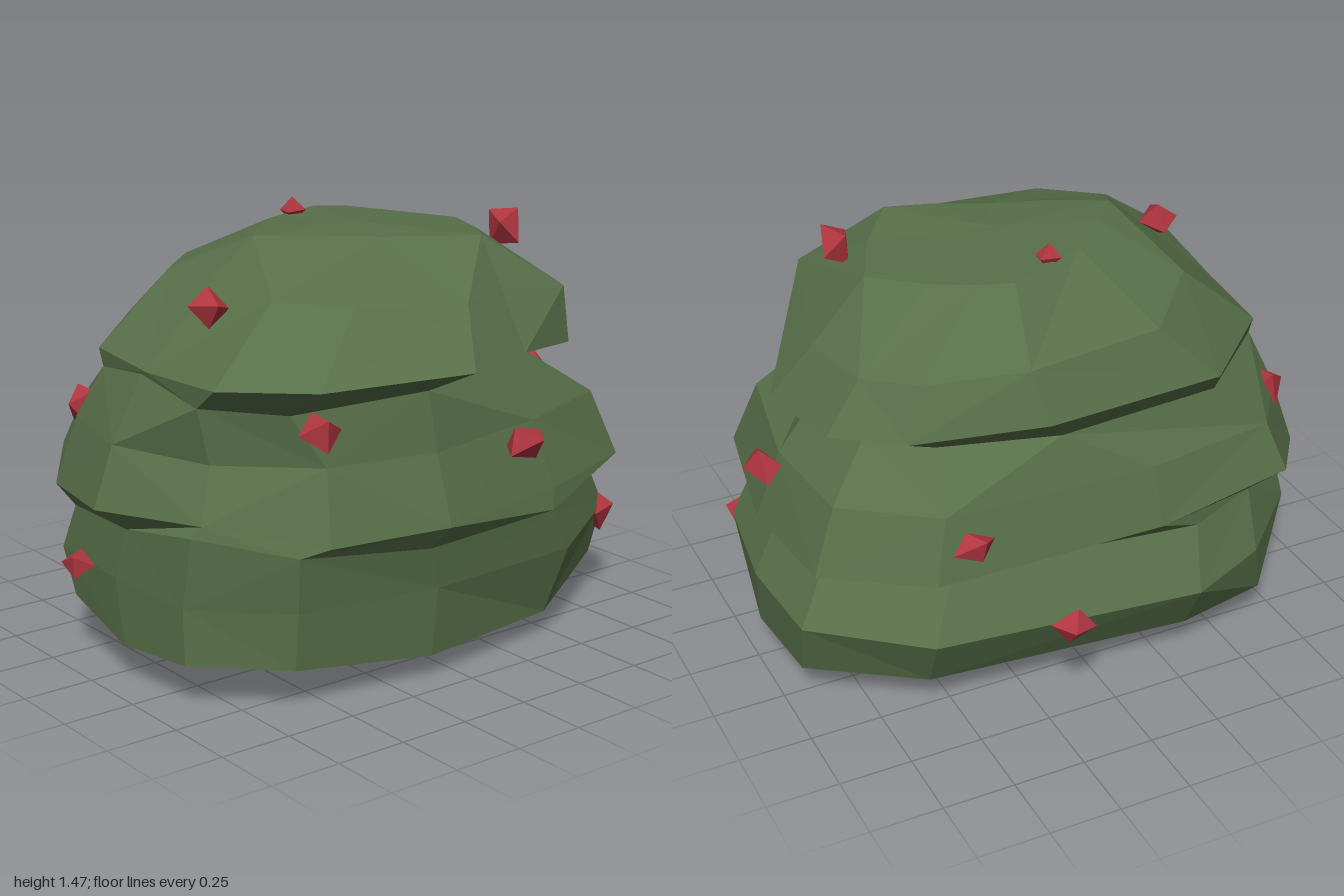
import * as THREE from 'three';

const SIDES = 12;

// outlines seen from above, x and z, starting at the front and turning towards +x
const LOWER = [
  [0.04, 0.92], [0.4, 0.9], [0.63, 0.62], [0.69, 0.1], [0.67, -0.5], [0.4, -0.93],
  [0, -0.99], [-0.36, -0.96], [-0.63, -0.6], [-0.73, 0.33], [-0.61, 0.62], [-0.36, 0.88],
];
const MIDDLE = [
  [0.05, 1], [0.45, 0.86], [0.7, 0.55], [0.77, 0.12], [0.67, -0.42], [0.52, -0.86],
  [0, -0.96], [-0.43, -0.92], [-0.67, -0.6], [-0.69, 0.2], [-0.61, 0.72], [-0.36, 0.9],
];
const UPPER = [
  [0.08, 0.81], [0.5, 0.84], [0.72, 0.6], [0.82, 0.07], [0.7, -0.25], [0.57, -0.57],
  [0.02, -0.89], [-0.33, -0.83], [-0.52, -0.63], [-0.65, -0.2], [-0.6, 0.44], [-0.27, 0.77],
];
const CROWN = [
  [0.07, 0.37], [0.17, 0.2], [0.27, 0], [0.35, -0.15], [0.41, -0.31], [0.22, -0.45],
  [0, -0.55], [-0.17, -0.4], [-0.27, -0.28], [-0.32, -0.17], [-0.19, 0.12], [-0.05, 0.27],
];

// foliage rings from bottom to top:
// outline, [+x edge, -x edge, front z, back z], [heights at front, +x, back, -x],
// and uneven corners as corner: [lift, spread]
const RINGS = [
  [LOWER, [0.02, -0.02, 0.33, -0.72], [0, 0, 0, 0], {}],
  [LOWER, [0.67, -0.62, 0.92, -0.97], [0.13, 0.08, 0.12, 0.12],
    { 1: [0.04, 1], 2: [0.04, 1], 4: [0, 0.93], 5: [0.05, 0.96], 10: [0, 1.08], 11: [0.06, 1] }],
  [LOWER, [0.69, -0.73, 0.92, -0.99], [0.35, 0.32, 0.34, 0.31], {}],
  [LOWER, [0.71, -0.63, 0.91, -0.86], [0.53, 0.47, 0.55, 0.52],
    { 1: [0.07, 1], 2: [0.03, 1], 11: [-0.02, 1] }],
  [MIDDLE, [0.77, -0.69, 1, -0.97], [0.6, 0.55, 0.57, 0.6],
    { 1: [0.035, 1], 2: [-0.015, 1], 10: [0.03, 1], 11: [-0.03, 1] }],
  [MIDDLE, [0.69, -0.63, 0.92, -0.88], [0.8, 0.78, 0.8, 0.8], {}],
  [UPPER, [0.66, -0.57, 0.83, -0.75], [0.98, 0.98, 0.97, 0.97],
    { 0: [0.035, 1], 2: [-0.02, 1], 5: [0.02, 1] }],
  [UPPER, [0.82, -0.65, 0.84, -0.89], [1.03, 1.06, 1, 1.07],
    { 1: [0.02, 1], 2: [0.01, 1], 5: [-0.01, 1] }],
  [UPPER, [0.66, -0.58, 0.54, -0.75], [1.29, 1.24, 1.17, 1.24], { 5: [0, 1.18] }],
  [CROWN, [0.41, -0.32, 0.38, -0.55], [1.42, 1.4, 1.37, 1.41], {}],
];

function foliageGeometry() {
  const pos = [];
  const index = [];
  RINGS.forEach(([outline, [xl, xr, zf, zb], [yf, yl, yb, yr], corners]) => {
    const xs = outline.map((p) => p[0]), zs = outline.map((p) => p[1]);
    outline.forEach(([px, pz], i) => {
      const u = THREE.MathUtils.mapLinear(px, Math.min(...xs), Math.max(...xs), -1, 1);
      const v = THREE.MathUtils.mapLinear(pz, Math.min(...zs), Math.max(...zs), -1, 1);
      const [lift, spread] = corners[i] ?? [0, 1];
      const side = (u * u) / (u * u + v * v);
      const y = side * (u > 0 ? yl : yr) + (1 - side) * (v > 0 ? yf : yb) + lift;
      pos.push((xl + xr) / 2 + spread * u * (xl - xr) / 2, y,
        (zf + zb) / 2 + spread * v * (zf - zb) / 2);
    });
  });
  for (let j = 0; j < RINGS.length - 1; j++) {
    for (let i = 0; i < SIDES; i++) {
      const n = (i + 1) % SIDES;
      const a = j * SIDES + i, b = j * SIDES + n;
      const c = b + SIDES, d = a + SIDES;
      if ((i + j) % 2) index.push(a, b, c, a, c, d);
      else index.push(a, b, d, b, c, d);
    }
  }
  // close the base and the crown
  const base = RINGS.length * SIDES;
  pos.push(0, 0, -0.2, 0.05, 1.42, -0.05);
  const top = (RINGS.length - 1) * SIDES;
  for (let i = 0; i < SIDES; i++) {
    const n = (i + 1) % SIDES;
    index.push(base, n, i, top + i, top + n, base + 1);
  }
  const g = new THREE.BufferGeometry();
  g.setAttribute('position', new THREE.Float32BufferAttribute(pos, 3));
  g.setIndex(index);
  const flat = g.toNonIndexed();
  flat.computeVertexNormals();
  return flat;
}

// berries: centre x, y, z and overall size x, y, z
const BERRIES = [
  [-0.765, 0.365, -0.17, 0.12, 0.12, 0.15],
  [-0.37, 0.82, 0.775, 0.09, 0.13, 0.13],
  [-0.155, 0.35, 0.945, 0.11, 0.08, 0.07],
  [0.2, 1.24, 0.65, 0.16, 0.13, 0.13],
  [0.255, 1.375, -0.55, 0.12, 0.13, 0.11],
  [-0.225, 1.425, 0, 0.06, 0.09, 0.08],
  [0.655, 0.915, 0.555, 0.11, 0.11, 0.15],
  [0.69, 0.745, -0.27, 0.1, 0.12, 0.17],
  [-0.02, 0.77, -0.945, 0.21, 0.14, 0.11],
  [0.41, 0.32, -0.89, 0.09, 0.16, 0.1],
  [-0.66, 0.7, -0.475, 0.07, 0.1, 0.16],
];

// small seeded generator, returns -1..1
function seeded(seed) {
  let s = seed;
  return () => {
    s = (s * 16807) % 2147483647;
    return (s / 2147483647) * 2 - 1;
  };
}

// a tilted octahedron, fitted to the wanted size
function berryGeometry(rnd, sx, sy, sz) {
  const g = new THREE.OctahedronGeometry(1);
  g.rotateX(rnd() * 0.9).rotateY(rnd() * 1.5).rotateZ(rnd() * 0.9);
  g.computeBoundingBox();
  const b = g.boundingBox.getSize(new THREE.Vector3());
  g.scale(sx / b.x, sy / b.y, sz / b.z);
  g.computeVertexNormals();
  return g;
}

export function createModel() {
  const leafGreen = new THREE.MeshStandardMaterial({ color: 0x587049 });
  leafGreen.name = 'leafGreen';
  const berryRed = new THREE.MeshStandardMaterial({ color: 0xb0353f });
  berryRed.name = 'berryRed';

  const bush = new THREE.Group();
  bush.name = 'bush';

  const foliage = new THREE.Mesh(foliageGeometry(), leafGreen);
  foliage.name = 'foliage';
  bush.add(foliage);

  const berries = new THREE.Group();
  berries.name = 'berries';
  const rnd = seeded(4211);
  BERRIES.forEach(([x, y, z, sx, sy, sz], i) => {
    const berry = new THREE.Mesh(berryGeometry(rnd, sx, sy, sz), berryRed);
    berry.name = `berry${i + 1}`;
    berry.position.set(x, y, z);
    berries.add(berry);
  });
  bush.add(berries);
  return bush;
}
